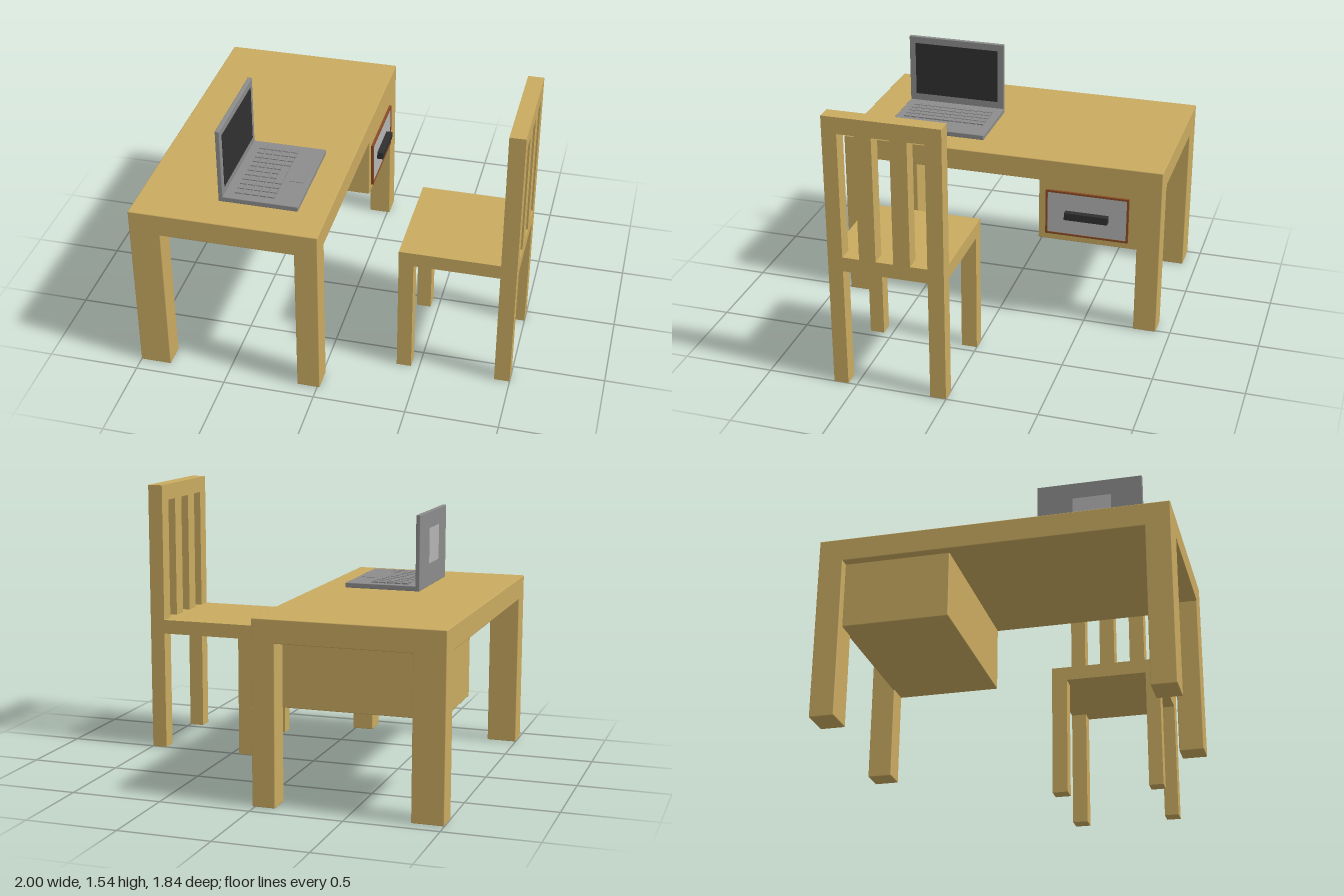
import * as THREE from 'three';
import { RoundedBoxGeometry } from 'three/addons/geometries/RoundedBoxGeometry.js';

const mat = (color) => new THREE.MeshStandardMaterial({ color });

// Box given by its [min, max] range on each axis; bevel > 0 softens the edges.
function block(parent, name, material, [x0, x1], [y0, y1], [z0, z1], bevel = 0) {
  const size = [x1 - x0, y1 - y0, z1 - z0];
  const geometry = bevel
    ? new RoundedBoxGeometry(...size, 1, bevel)
    : new THREE.BoxGeometry(...size);
  const mesh = new THREE.Mesh(geometry, material);
  mesh.name = name;
  mesh.position.set((x0 + x1) / 2, (y0 + y1) / 2, (z0 + z1) / 2);
  parent.add(mesh);
  return mesh;
}

function part(parent, name) {
  const group = new THREE.Group();
  group.name = name;
  parent.add(group);
  return group;
}

export function createModel() {
  const model = new THREE.Group();
  model.name = 'deskSet';
  const wood = mat(0xc9aa60);
  const trim = mat(0x8a4a24);
  const silver = mat(0xb4b4b4);
  const grey = mat(0x8c8c8c);
  const dark = mat(0x303030);

  // Desk: thick top, four legs, drawer cabinet at the back
  const desk = part(model, 'desk');
  const bevel = 0.005;
  block(desk, 'deskTop', wood, [-1, 0.015], [0.86, 0.985], [-0.92, 0.92], bevel);
  for (const x of [[-1, -0.83], [-0.11, 0.015]]) {
    for (const z of [[-0.92, -0.79], [0.79, 0.92]]) {
      block(desk, 'deskLeg', wood, x, [0, 0.95], z, bevel);
    }
  }
  block(desk, 'drawerCabinet', wood, [-0.95, 0.015], [0.505, 0.93], [-0.8, -0.23], bevel);

  // Drawer front: trim frame, panel and handle
  const drawer = part(desk, 'drawer');
  const frame = [0.01, 0.029];
  for (const y of [[0.545, 0.556], [0.8, 0.811]]) {
    block(drawer, 'drawerTrim', trim, frame, y, [-0.742, -0.272]);
  }
  for (const z of [[-0.742, -0.731], [-0.283, -0.272]]) {
    block(drawer, 'drawerTrim', trim, frame, [0.556, 0.8], z);
  }
  block(drawer, 'drawerPanel', silver, [0.01, 0.025], [0.556, 0.8], [-0.731, -0.283]);
  block(drawer, 'drawerHandle', dark, [0.02, 0.06], [0.655, 0.697], [-0.63, -0.385]);

  // Chair: seat, front legs, tall back posts, slats and top rail
  const chair = part(model, 'chair');
  const back = [0.915, 1];
  block(chair, 'chairSeat', wood, [0.375, 1], [0.68, 0.76], [0, 0.628]);
  for (const z of [[0, 0.087], [0.548, 0.628]]) {
    block(chair, 'chairFrontLeg', wood, [0.375, 0.455], [0, 0.68], z);
    block(chair, 'chairBackLeg', wood, back, [0, 0.68], z);
    block(chair, 'chairBackPost', wood, back, [0.76, 1.45], z);
  }
  for (const z of [[0.18, 0.27], [0.366, 0.456]]) {
    block(chair, 'chairSlat', wood, back, [0.76, 1.45], z);
  }
  block(chair, 'chairTopRail', wood, back, [1.45, 1.54], [0, 0.628]);

  // Laptop: base, upright lid with screen, plain panel on the lid's back
  const laptop = part(model, 'laptop');
  const width = [0.14, 0.715];
  block(laptop, 'laptopBase', grey, [-0.572, -0.142], [0.985, 1.014], width, 0.004);
  block(laptop, 'laptopLid', grey, [-0.572, -0.548], [0.99, 1.41], width, 0.004);
  block(laptop, 'screen', dark, [-0.555, -0.546], [1.055, 1.37], [0.178, 0.678]);
  block(laptop, 'lidPanel', silver, [-0.574, -0.565], [1.115, 1.315], [0.335, 0.545]);
  block(laptop, 'touchpad', grey, [-0.25, -0.17], [1.0, 1.0165], [0.36, 0.49]);

  // Keyboard: 5 x 11 keys, with a long key in the row nearest the chair
  const keyboard = part(laptop, 'keyboard');
  const pitch = 0.0445, gap = 0.004;
  for (let row = 0; row < 5; row++) {
    const x = -0.5 + row * pitch;
    for (let i = 0; i < 11; i++) {
      const z = 0.18 + i * pitch;
      const isSpace = row === 4 && i === 4;
      const span = isSpace ? 4 : 1;
      block(keyboard, isSpace ? 'spaceKey' : 'key', grey,
        [x + gap, x + pitch - gap], [1.005, 1.021], [z + gap, z + span * pitch - gap]);
      i += span - 1;
    }
  }
  return model;
}
